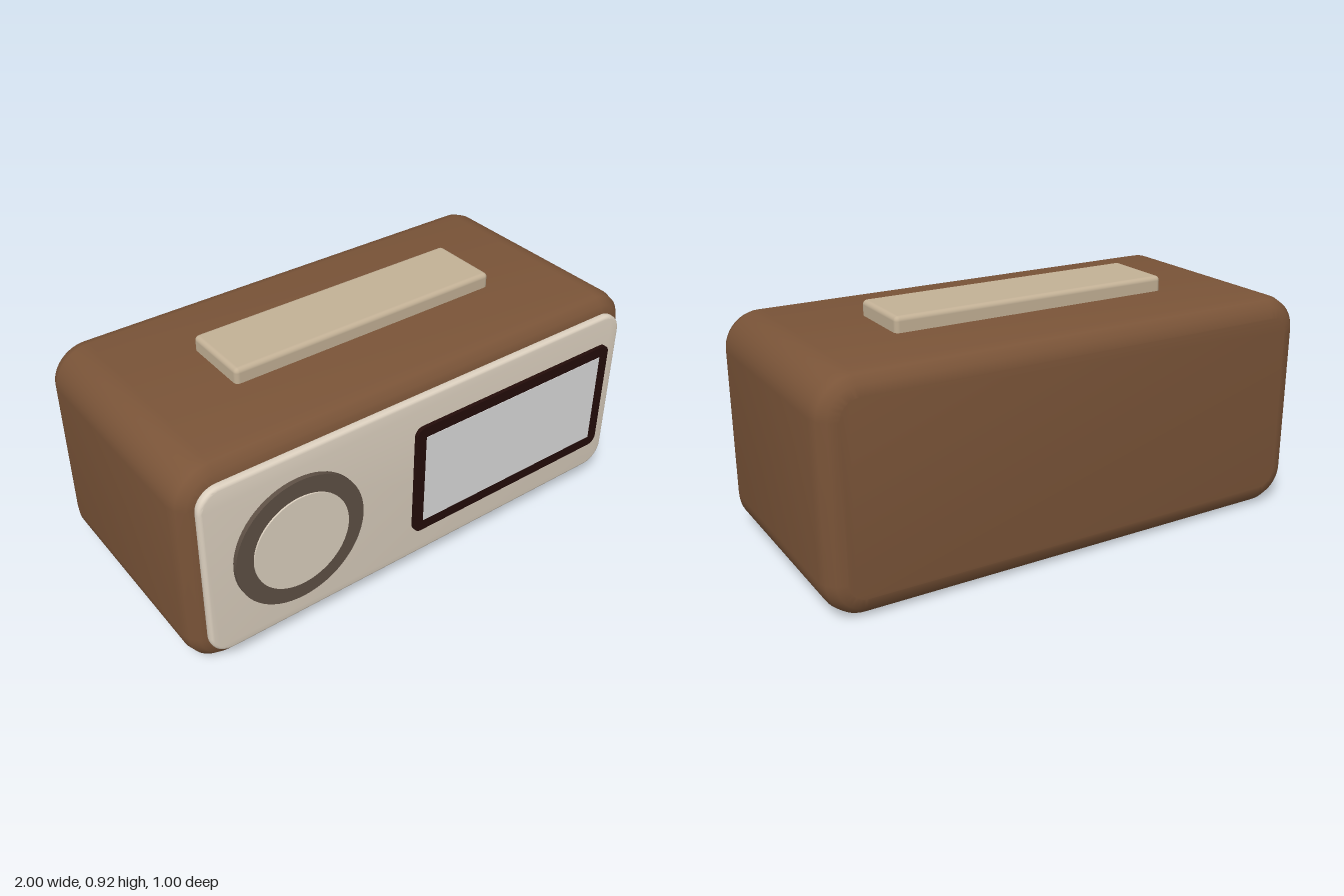
import * as THREE from 'three';
import { toCreasedNormals } from 'three/addons/utils/BufferGeometryUtils.js';
import { RoundedBoxGeometry } from 'three/addons/geometries/RoundedBoxGeometry.js';

const material = (name, color) => {
  const m = new THREE.MeshStandardMaterial({ color });
  m.name = name;
  return m;
};

// Rounded rectangle outline, drawn into a Shape or a Path
function roundedRect(path, x0, y0, x1, y1, r) {
  const q = Math.PI / 2;
  path.moveTo(x0 + r, y0);
  path.lineTo(x1 - r, y0);
  path.absarc(x1 - r, y0 + r, r, -q, 0);
  path.lineTo(x1, y1 - r);
  path.absarc(x1 - r, y1 - r, r, 0, q);
  path.lineTo(x0 + r, y1);
  path.absarc(x0 + r, y1 - r, r, q, 2 * q);
  path.lineTo(x0, y0 + r);
  path.absarc(x0 + r, y0 + r, r, 2 * q, 3 * q);
  return path;
}

// Rounded slab with softened rims, filling the given bounds exactly
function softSlab(x0, y0, x1, y1, r, z0, z1, bevel) {
  const shape = roundedRect(new THREE.Shape(), x0 + bevel, y0 + bevel, x1 - bevel, y1 - bevel, r - bevel);
  const geo = new THREE.ExtrudeGeometry(shape, {
    depth: z1 - z0 - 2 * bevel, bevelSize: bevel, bevelThickness: bevel, bevelSegments: 3, curveSegments: 6,
  });
  geo.translate(0, 0, z0 + bevel);
  return toCreasedNormals(geo, 0.65);
}

// Sharp-edged plate from a shape
function plate(shape, z0, z1, curveSegments = 6) {
  const geo = new THREE.ExtrudeGeometry(shape, { depth: z1 - z0, bevelEnabled: false, curveSegments });
  geo.translate(0, 0, z0);
  return toCreasedNormals(geo, 0.65);
}

export function createModel() {
  const brown = material('brown casing', 0x7a5438);
  const cream = material('cream panel', 0xdcd0bf);
  const tan = material('tan button', 0xc3b196);
  const taupe = material('taupe ring', 0x5e5045);
  const dark = material('dark frame', 0x240d0a);
  const grey = material('grey screen', 0xdadada);

  const group = new THREE.Group();
  const add = (name, geo, mat) => {
    const mesh = new THREE.Mesh(geo, mat);
    mesh.name = name;
    group.add(mesh);
    return mesh;
  };

  // Casing and front panel
  add('casing', softSlab(-1, 0, 1, 0.857, 0.145, -0.5, 0.45, 0.075), brown);
  add('frontPanel', softSlab(-0.94, 0.072, 0.94, 0.79, 0.085, 0.44, 0.476, 0.012), cream);

  // Long button on top
  const button = add('topButton', new RoundedBoxGeometry(1.14, 0.1, 0.283, 3, 0.018), tan);
  button.position.set(0, 0.865, -0.027);

  // Speaker: ring with a slightly raised disc inside
  const cx = -0.573, cy = 0.43;
  const ring = new THREE.Shape().absarc(cx, cy, 0.261, 0, Math.PI * 2);
  ring.holes.push(new THREE.Path().absarc(cx, cy, 0.193, 0, Math.PI * 2, true));
  add('speakerRing', plate(ring, 0.47, 0.494, 32), taupe);
  add('speakerDisc', plate(new THREE.Shape().absarc(cx, cy, 0.193, 0, Math.PI * 2), 0.47, 0.5, 32), cream);

  // Display: frame with the screen inside
  const frame = roundedRect(new THREE.Shape(), -0.075, 0.192, 0.88, 0.668, 0.035);
  const opening = new THREE.Path([[-0.033, 0.238], [-0.033, 0.624], [0.833, 0.624], [0.833, 0.238]]
    .map(([x, y]) => new THREE.Vector2(x, y)));
  frame.holes.push(opening);
  add('displayFrame', plate(frame, 0.47, 0.491), dark);
  const screen = add('displayScreen', new THREE.BoxGeometry(0.866, 0.386, 0.009), grey);
  screen.position.set(0.4, 0.431, 0.4885);

  return group;
}
